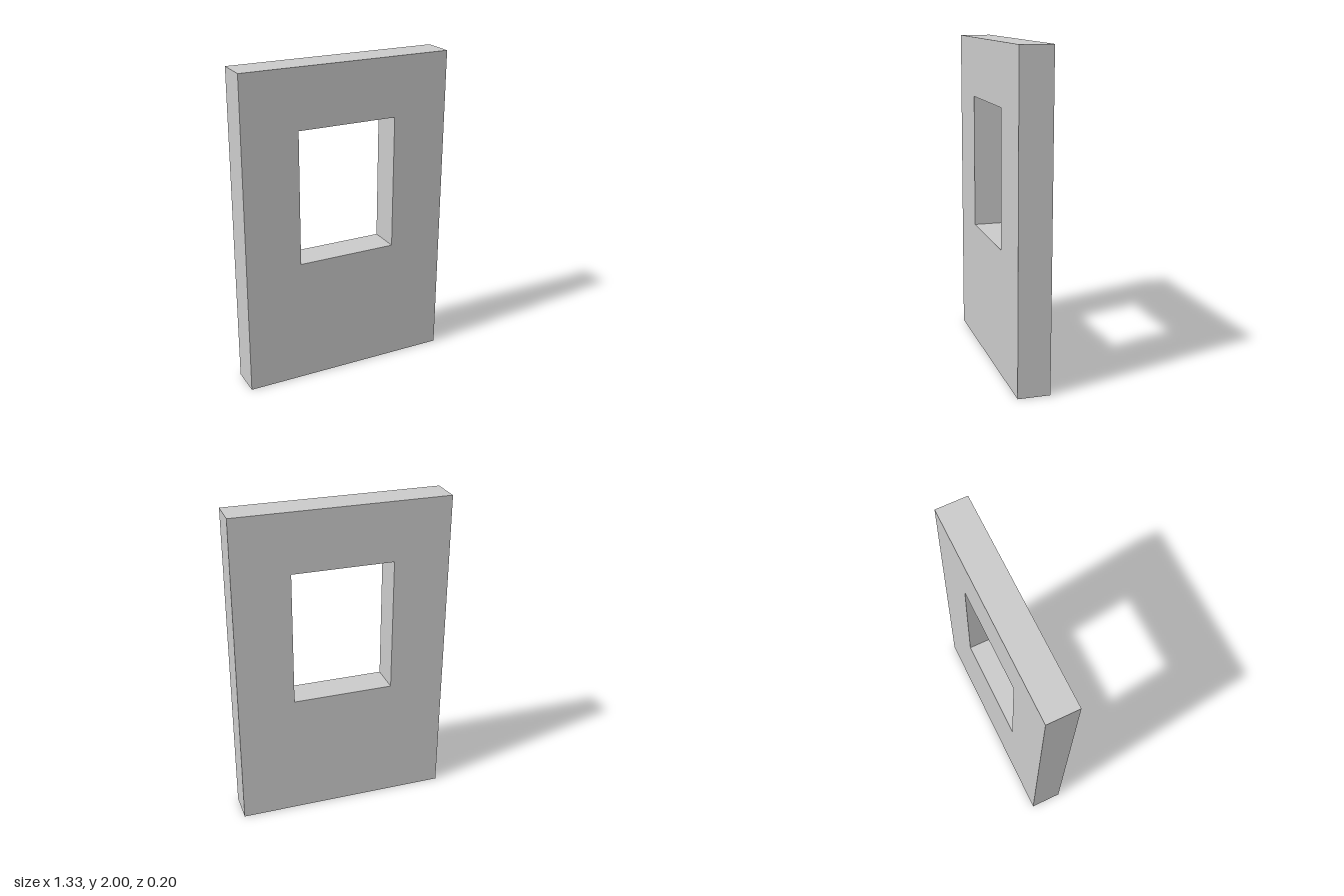
import * as THREE from 'three';

const WIDTH = 1.333, HEIGHT = 2, DEPTH = 0.198;
const OPENING = { left: -0.315, right: 0.315, bottom: 0.79, top: 1.63 };

// Traces a rectangle onto a Shape or Path
function rectangle(path, left, bottom, right, top) {
  path.moveTo(left, bottom);
  path.lineTo(right, bottom);
  path.lineTo(right, top);
  path.lineTo(left, top);
  path.closePath();
  return path;
}

export function createModel() {
  const group = new THREE.Group();
  group.name = 'windowWall';

  // Wall panel outline with the window opening cut through it
  const outline = rectangle(new THREE.Shape(), -WIDTH / 2, 0, WIDTH / 2, HEIGHT);
  outline.holes.push(
    rectangle(new THREE.Path(), OPENING.left, OPENING.bottom, OPENING.right, OPENING.top)
  );

  const geometry = new THREE.ExtrudeGeometry(outline, { depth: DEPTH, bevelEnabled: false });
  geometry.translate(0, 0, -DEPTH / 2);

  const wall = new THREE.Mesh(
    geometry,
    new THREE.MeshStandardMaterial({ color: 0xcccccc, flatShading: true })
  );
  wall.name = 'wallPanel';
  group.add(wall);

  return group;
}
